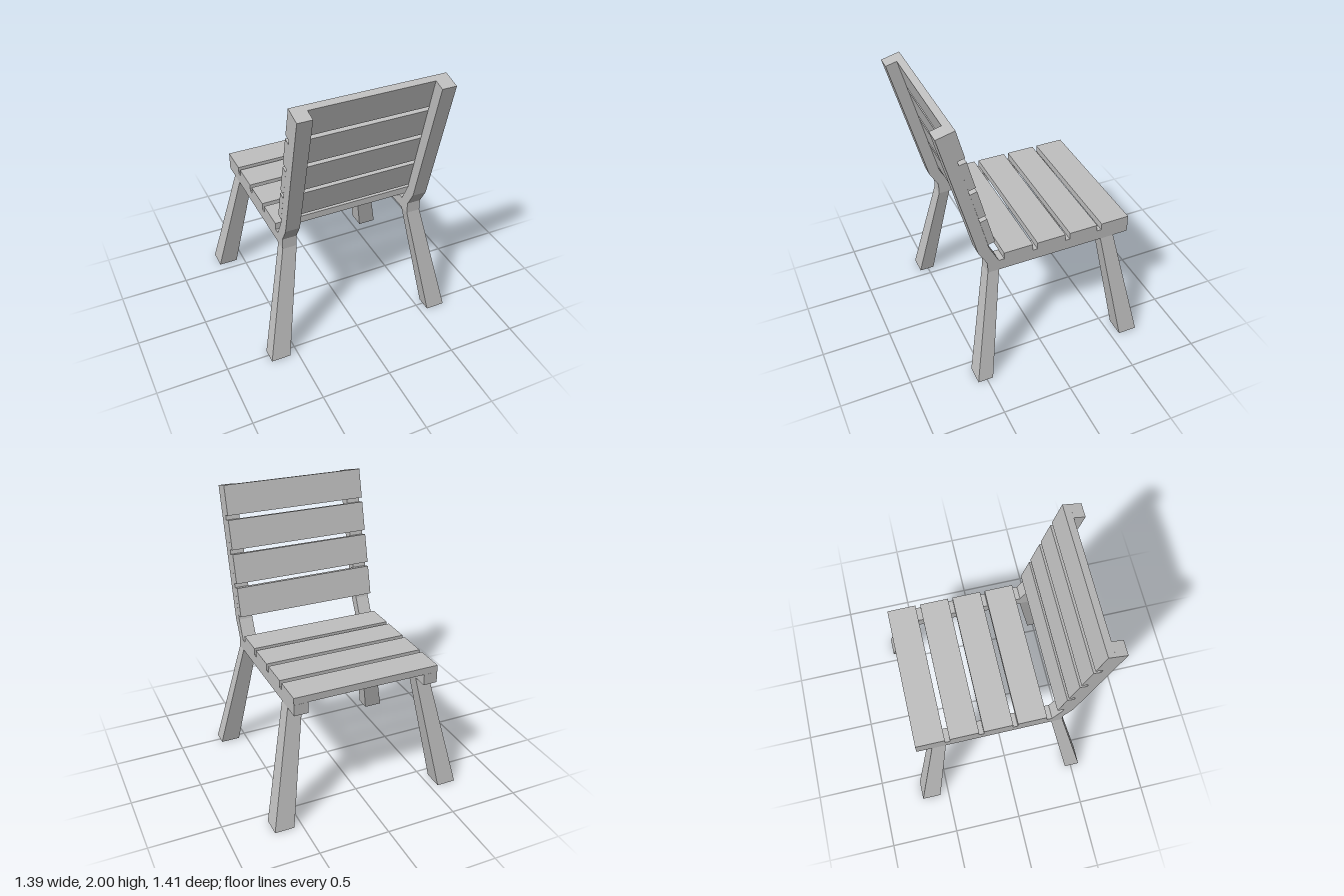
import * as THREE from 'three';

export function createModel() {
  const chair = new THREE.Group();
  chair.name = 'chair';
  const grey = new THREE.MeshStandardMaterial({ color: 0xc0c0c0 });
  grey.name = 'grey';

  const add = (parent, name, geometry) => {
    const mesh = new THREE.Mesh(geometry, grey);
    mesh.name = name;
    parent.add(mesh);
    return mesh;
  };

  // Seat rail and bent back post, one (z, y) outline per side
  const outline = [
    [-0.65, 0.84], [0.405, 0.84], [0.405, 0.92], [0.468, 1.03], [0.706, 1.968],
    [0.628, 1.988], [0.393, 1.055], [0.325, 0.92], [-0.65, 0.92],
  ];
  const frameShape = new THREE.Shape(outline.map(([z, y]) => new THREE.Vector2(z, y)));
  const frameGeometry = new THREE.ExtrudeGeometry(frameShape, { depth: 0.1, bevelEnabled: false });
  frameGeometry.rotateY(-Math.PI / 2);

  // Splayed leg: a unit box whose top and bottom are fitted to [inner, outer] ranges
  const legGeometry = (side, top, bottom) => {
    const geometry = new THREE.BoxGeometry(1, 1, 1);
    const p = geometry.attributes.position;
    for (let i = 0; i < p.count; i++) {
      const end = p.getY(i) > 0 ? top : bottom;
      const outer = p.getX(i) * side > 0 ? 1 : 0;
      const forward = p.getZ(i) > 0 ? 1 : 0;
      p.setXYZ(i, side * end.x[outer], end.y, end.z[forward]);
    }
    geometry.computeVertexNormals();
    return geometry;
  };

  for (const side of [1, -1]) {
    const label = side > 0 ? 'left' : 'right';
    add(chair, label + 'SideFrame', frameGeometry).position.x = side > 0 ? 0.52 : -0.42;
    add(chair, label + 'BackrestLeg', legGeometry(side,
      { x: [0.42, 0.52], y: 0.84, z: [0.325, 0.405] },
      { x: [0.557, 0.695], y: 0, z: [0.455, 0.565] }));
    add(chair, label + 'SeatEdgeLeg', legGeometry(side,
      { x: [0.42, 0.52], y: 0.84, z: [-0.54, -0.44] },
      { x: [0.557, 0.695], y: 0, z: [-0.705, -0.567] }));
  }

  // Tilted backrest, hung from the top of the posts
  const backrest = new THREE.Group();
  backrest.name = 'backrest';
  backrest.position.set(0, 1.968, 0.706);
  backrest.rotation.x = Math.atan2(0.238, 0.938);
  chair.add(backrest);

  // Four slats each on the seat and the backrest
  const seatSlat = new THREE.BoxGeometry(1.04, 0.05, 0.208);
  const backSlat = new THREE.BoxGeometry(1.04, 0.21, 0.05);
  for (let i = 0; i < 4; i++) {
    add(chair, 'seatSlat' + (i + 1), seatSlat).position.set(0, 0.945, -0.545 + i * 0.2425);
    add(backrest, 'backSlat' + (i + 1), backSlat).position.set(0, -0.105 - i * 0.242, -0.105);
  }

  return chair;
}
